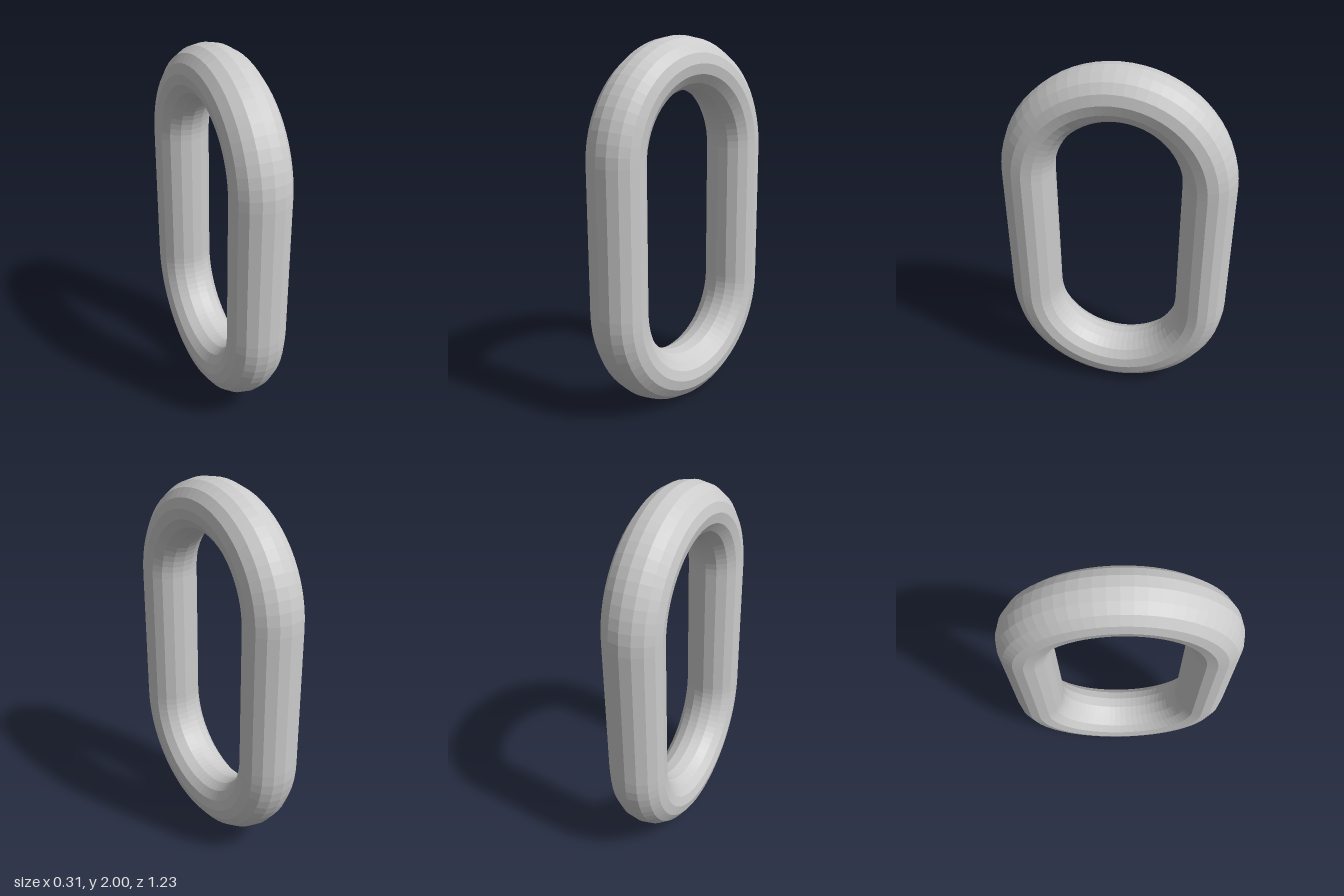
import * as THREE from 'three';

const SIDES = 16;         // facets around the bar
const ARC = 32;           // steps in each rounded end
const BEND = 0.475;       // bend radius of the bar's centreline
const THICK = 0.14;       // half thickness of the bar in the link's plane
const WIDE = 0.157;       // half width of the bar along x
const STRAIGHT = 0.385;   // half length of the straight sides

// Closed oval link: an elliptical section swept around two half circles
function linkGeometry() {
  const positions = [];
  const indices = [];
  const rings = 2 * (ARC + 1);

  for (let i = 0; i < rings; i++) {
    const end = i <= ARC ? 1 : -1; // upper end first, then lower end
    const t = Math.PI * (end > 0 ? i / ARC : 1 + (i - ARC - 1) / ARC);
    for (let j = 0; j < SIDES; j++) {
      const a = (j / SIDES) * Math.PI * 2;
      const r = BEND + THICK * Math.cos(a);
      positions.push(WIDE * Math.sin(a), 1 + end * STRAIGHT + r * Math.sin(t), r * Math.cos(t));

      // Quad to the next ring; the step between ends makes the straight sides
      const i2 = (i + 1) % rings;
      const j2 = (j + 1) % SIDES;
      const p = i * SIDES + j, q = i * SIDES + j2;
      const s = i2 * SIDES + j, u = i2 * SIDES + j2;
      indices.push(p, q, u, p, u, s);
    }
  }

  const indexed = new THREE.BufferGeometry();
  indexed.setAttribute('position', new THREE.Float32BufferAttribute(positions, 3));
  indexed.setIndex(indices);
  const geometry = indexed.toNonIndexed();
  geometry.computeVertexNormals();
  return geometry;
}

export function createModel() {
  const group = new THREE.Group();
  group.name = 'chainLink';
  const material = new THREE.MeshStandardMaterial({ color: 0xcccccc, flatShading: true });
  const link = new THREE.Mesh(linkGeometry(), material);
  link.name = 'link';
  group.add(link);
  return group;
}
